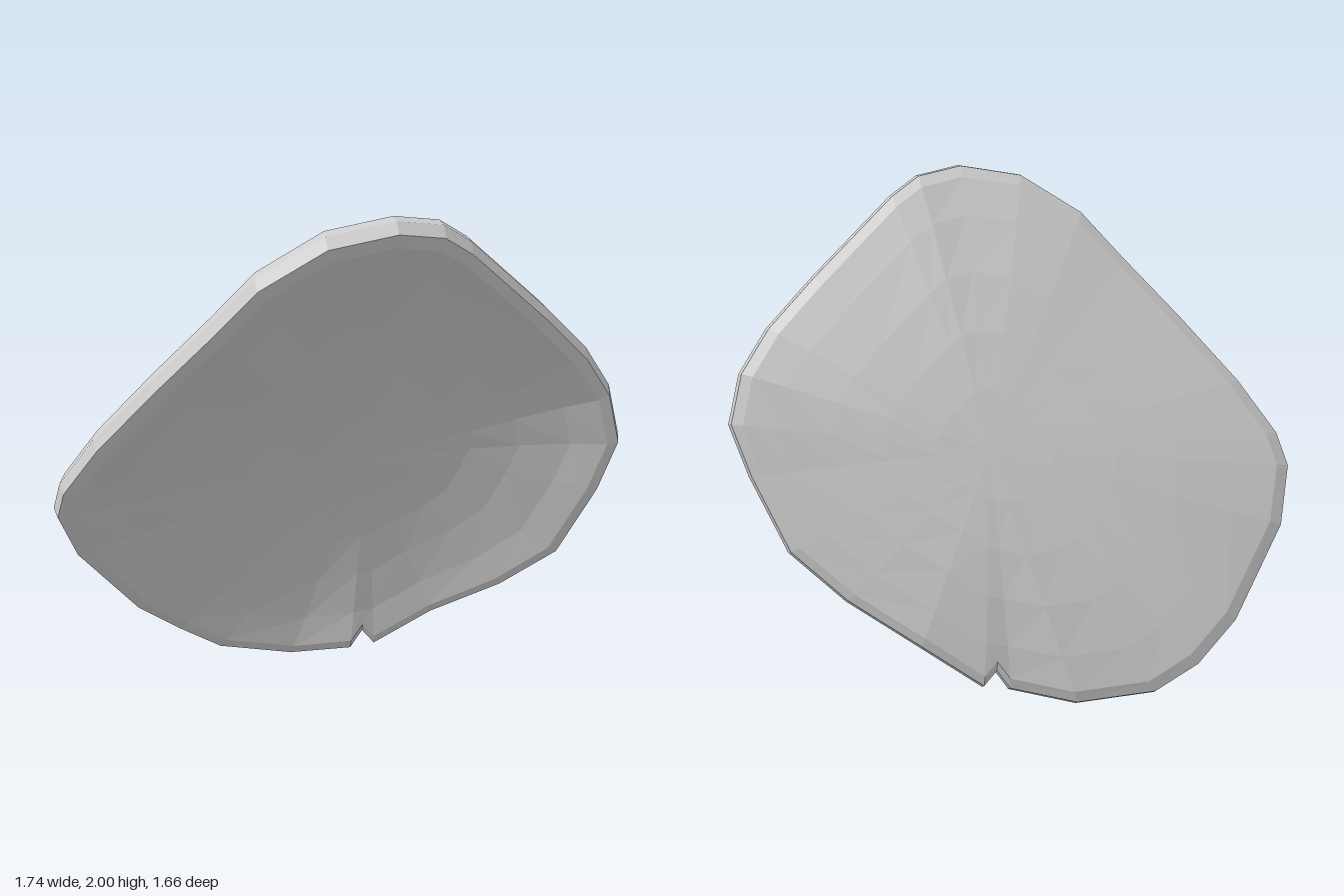
import * as THREE from 'three';

// Rim centre line, clockwise as seen from the hollow front face
const RIM = [
  [-0.2, 1.985, 0.53], [-0.02, 1.965, 0.59], [0.1, 1.9, 0.62], [0.46, 1.63, 0.7],
  [0.66, 1.46, 0.75], [0.78, 1.3, 0.785], [0.84, 1.1, 0.8], [0.82, 0.89, 0.725],
  [0.78, 0.59, 0.565], [0.685, 0.41, 0.345], [0.55, 0.245, 0.07], [0.405, 0.075, -0.135],
  [0.36, 0.14, -0.165], [0.325, 0.055, -0.205], [0.17, 0.01, -0.43], [-0.06, 0.045, -0.65],
  [-0.21, 0.145, -0.75], [-0.4, 0.285, -0.795], [-0.7, 0.605, -0.795], [-0.83, 0.81, -0.73],
  [-0.85, 0.93, -0.65], [-0.805, 1.13, -0.475], [-0.715, 1.38, -0.225], [-0.62, 1.61, 0.01],
  [-0.55, 1.785, 0.18], [-0.4, 1.935, 0.38],
].map((p) => new THREE.Vector3(...p));
const NOTCH = 12;

// Rings from the front centre, around the rim, to the back centre:
// [scale, offset along the plate normal, depth of the dish]
const RINGS = [
  [0, 0.06, 0.06], [0.2, 0.06, 0.06], [0.4, 0.06, 0.06], [0.6, 0.065, 0.06],
  [0.8, 0.07, 0.06], [0.94, 0.08, 0.06], [0.985, 0.065, 0], [1, 0, 0],
  [0.985, -0.065, 0], [0.94, -0.08, 0.1], [0.8, -0.08, 0.11], [0.6, -0.08, 0.11],
  [0.4, -0.08, 0.11], [0.2, -0.08, 0.11], [0, -0.08, 0.11],
];

function createPlateGeometry() {
  const normal = new THREE.Vector3(-0.56, -0.42, 0.715).normalize();
  const centre = new THREE.Vector3(0.15, 0.97, 0.09);
  const n = RIM.length;
  const positions = [];
  const index = [];

  RINGS.forEach(([scale, offset, dish], j) => {
    RIM.forEach((rim, i) => {
      // The notch only cuts into the outer rings
      const edge = rim.clone();
      if (i === NOTCH && scale < 0.9) edge.lerpVectors(RIM[i - 1], RIM[i + 1], 0.5);
      // The bend of the rim fades smoothly towards the centre
      const rise = edge.clone().sub(centre).dot(normal);
      const bend = rise * (scale * scale - scale);
      const p = centre.clone().lerp(edge, scale);
      p.addScaledVector(normal, bend + offset - dish * (1 - scale * scale));
      positions.push(p.x, p.y, p.z);

      if (j === RINGS.length - 1) return;
      const k = (i + 1) % n;
      const a = j * n + i, b = j * n + k, c = a + n, d = b + n;
      if (j < RINGS.length - 2) index.push(a, d, c);
      if (j > 0) index.push(a, b, d);
    });
  });

  const geometry = new THREE.BufferGeometry();
  geometry.setAttribute('position', new THREE.Float32BufferAttribute(positions, 3));
  geometry.setIndex(index);
  const faceted = geometry.toNonIndexed();
  faceted.computeVertexNormals();
  return faceted;
}

export function createModel() {
  const group = new THREE.Group();
  group.name = 'curvedPlate';
  const grey = new THREE.MeshStandardMaterial({ color: 0xcccccc, flatShading: true });
  grey.name = 'plain grey';
  const plate = new THREE.Mesh(createPlateGeometry(), grey);
  plate.name = 'plate';
  group.add(plate);
  return group;
}
